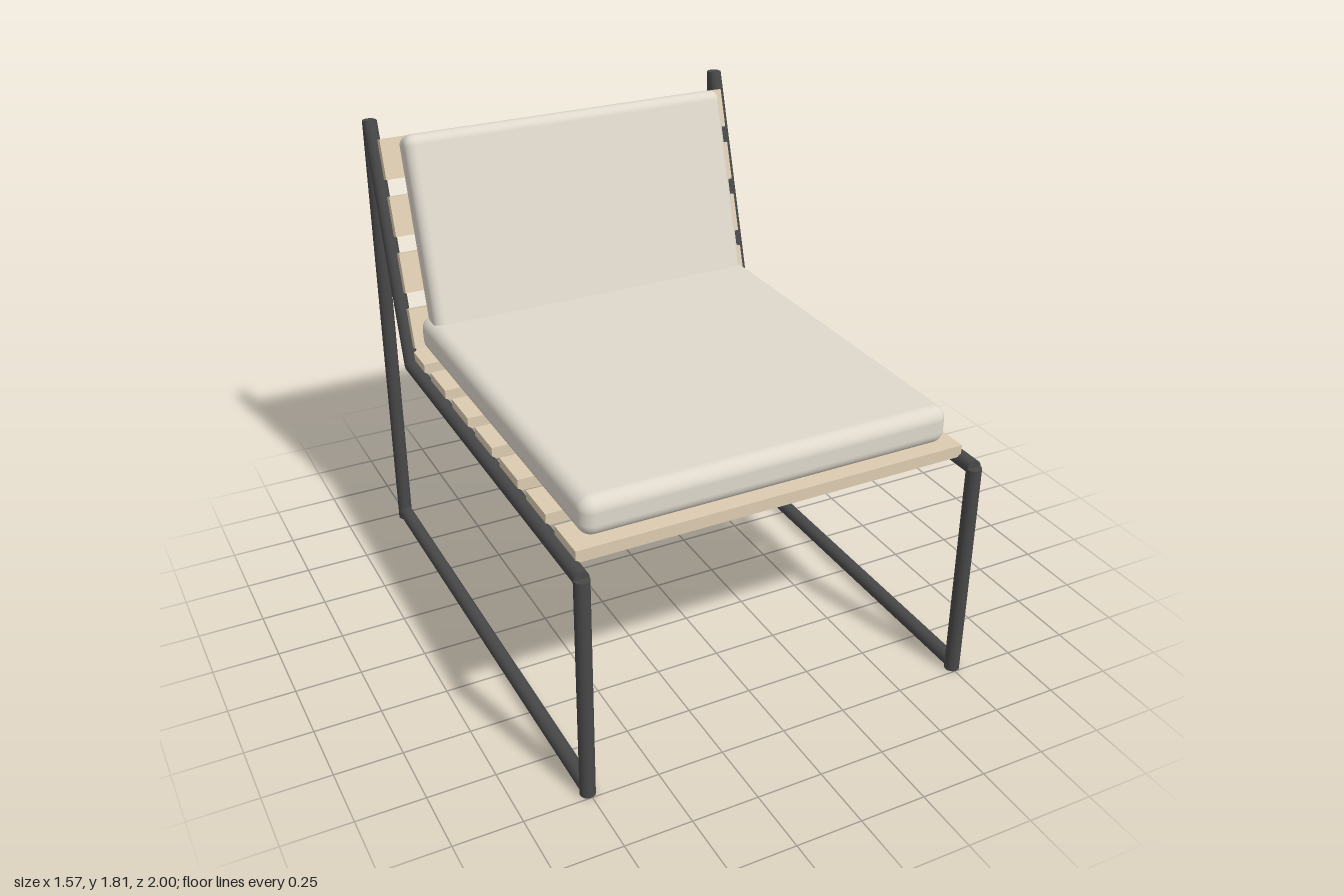
import * as THREE from 'three';
import { RoundedBoxGeometry } from 'three/addons/geometries/RoundedBoxGeometry.js';

const metal = new THREE.MeshStandardMaterial({ color: 0x484848 });
const wood = new THREE.MeshStandardMaterial({ color: 0xdccbb0 });
const fabric = new THREE.MeshStandardMaterial({ color: 0xded8cc });

const TUBE_R = 0.028;
const SIDE_X = 0.755;
const SLAT_W = 1.49;

function add(parent, name, geometry, material, x, y, z) {
  const mesh = new THREE.Mesh(geometry, material);
  mesh.name = name;
  mesh.position.set(x, y, z);
  parent.add(mesh);
  return mesh;
}

// Straight tube between two [y, z] points in a side frame
function addTube(parent, name, [y0, z0], [y1, z1]) {
  const a = new THREE.Vector3(0, y0, z0);
  const b = new THREE.Vector3(0, y1, z1);
  const dir = b.clone().sub(a);
  const mid = a.add(b).multiplyScalar(0.5);
  const geometry = new THREE.CylinderGeometry(TUBE_R, TUBE_R, dir.length(), 24);
  const tube = add(parent, name, geometry, metal, 0, mid.y, mid.z);
  tube.quaternion.setFromUnitVectors(new THREE.Vector3(0, 1, 0), dir.normalize());
}

export function createModel() {
  const chair = new THREE.Group();
  chair.name = 'loungeChair';

  // Tubular side frames
  const backFoot = [0.875, -0.68];
  const backTop = [1.8, -0.97];
  for (const side of [1, -1]) {
    const frame = new THREE.Group();
    frame.name = side > 0 ? 'leftFrame' : 'rightFrame';
    frame.position.x = side * SIDE_X;
    addTube(frame, 'frontLeg', [0, 0.972], [0.875, 0.972]);
    addTube(frame, 'backLeg', [0, -0.972], [1.8, -0.972]);
    addTube(frame, 'floorRail', [TUBE_R, 0.972], [TUBE_R, -0.972]);
    addTube(frame, 'seatRail', [0.875, 0.972], backFoot);
    addTube(frame, 'backRail', backFoot, backTop);
    chair.add(frame);
  }

  // Seat slats and cushion
  const seat = new THREE.Group();
  seat.name = 'seat';
  for (let i = 0; i < 7; i++) {
    add(seat, 'seatSlat', new THREE.BoxGeometry(SLAT_W, 0.045, 0.168), wood, 0, 0.9125, 0.822 - i * 0.242);
  }
  add(seat, 'seatCushion', new RoundedBoxGeometry(1.41, 0.145, 1.575, 6, 0.05), fabric, 0, 1.008, 0.0875);
  chair.add(seat);

  // Backrest: local y runs up the sloping rails, local z points forward
  const back = new THREE.Group();
  back.name = 'backrest';
  back.position.set(0, backFoot[0], backFoot[1]);
  back.rotation.x = -Math.atan2(backFoot[1] - backTop[1], backTop[0] - backFoot[0]);
  for (let i = 0; i < 4; i++) {
    add(back, 'backSlat', new THREE.BoxGeometry(SLAT_W, 0.156, 0.045), wood, 0, 0.15 + i * 0.222, 0.036);
  }
  add(back, 'backCushion', new RoundedBoxGeometry(1.36, 0.815, 0.122, 6, 0.04), fabric, 0, 0.49, 0.119);
  chair.add(back);

  return chair;
}
